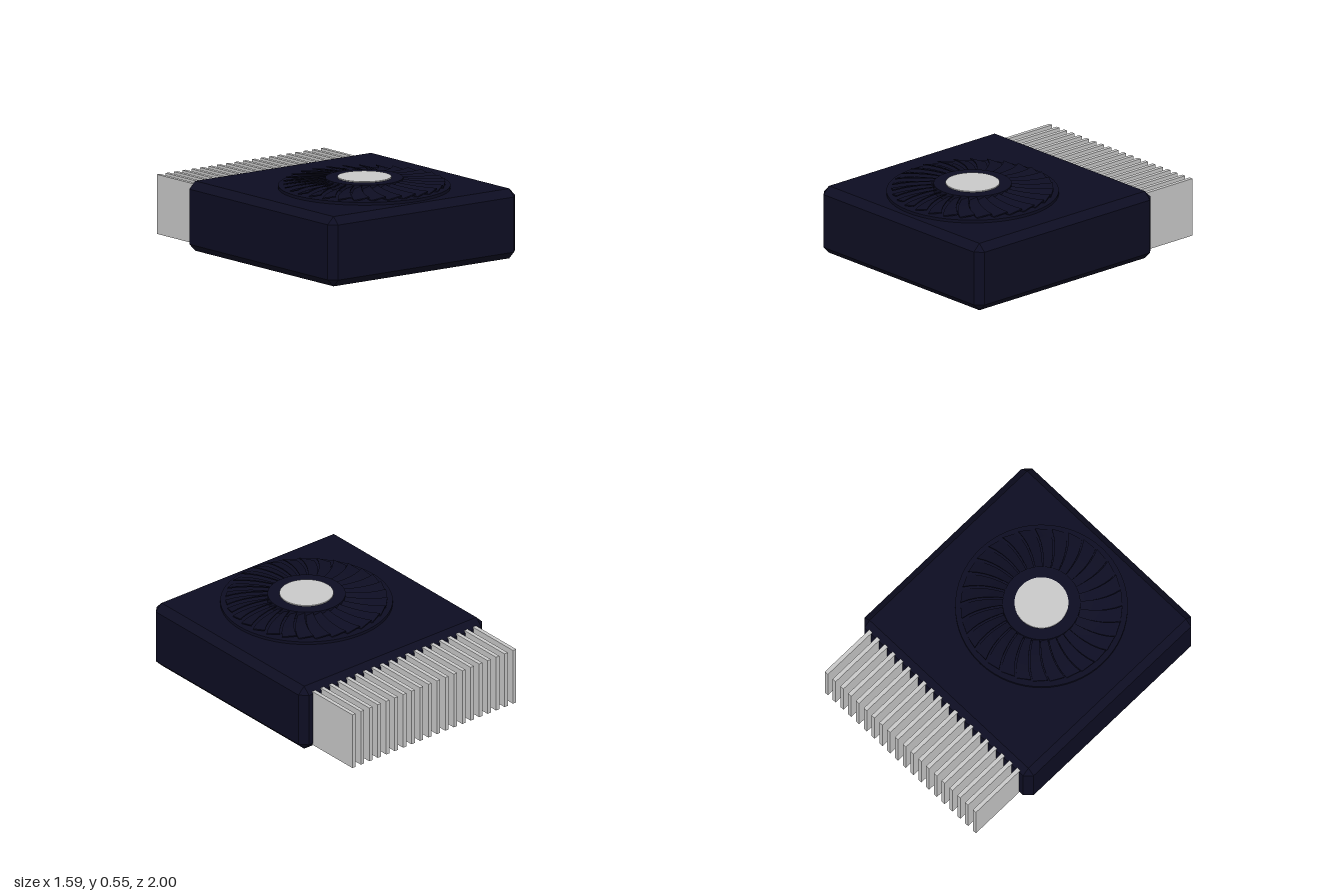
import * as THREE from 'three';
import { ConvexGeometry } from 'three/addons/geometries/ConvexGeometry.js';
import { mergeGeometries } from 'three/addons/utils/BufferGeometryUtils.js';

const navy = new THREE.MeshStandardMaterial({ name: 'darkNavy', color: 0x0d0d22 });
const silver = new THREE.MeshStandardMaterial({ name: 'lightGrey', color: 0xc9c9c9 });

function addMesh(parent, name, geometry, material, x = 0, y = 0, z = 0) {
  const mesh = new THREE.Mesh(geometry, material);
  mesh.name = name;
  mesh.position.set(x, y, z);
  parent.add(mesh);
  return mesh;
}

// Box with every edge and corner cut flat
function chamferBox(w, h, d, c) {
  const points = [];
  for (const sx of [-1, 1]) for (const sy of [-1, 1]) for (const sz of [-1, 1]) {
    for (const [a, b, e] of [[0, c, c], [c, 0, c], [c, c, 0]]) {
      points.push(new THREE.Vector3(sx * (w / 2 - a), sy * (h / 2 - b), sz * (d / 2 - e)));
    }
  }
  return new ConvexGeometry(points);
}

// Curved, pitched blade: x runs outward, z runs around the hub
function bladeGeometry(start) {
  const g = new THREE.BoxGeometry(1, 1, 1, 6, 1, 1);
  const p = g.attributes.position;
  for (let i = 0; i < p.count; i++) {
    const t = p.getX(i) + 0.5;
    const s = p.getZ(i) + 0.5;
    const r = 0.235 + t * 0.305;
    const angle = start - 0.13 * t * t + s * 0.185;
    const top = 0.545 - 0.022 * t - 0.022 * s;
    const y = top + (p.getY(i) - 0.5) * 0.008;
    p.setXYZ(i, r * Math.cos(angle), y, r * Math.sin(angle));
  }
  g.computeVertexNormals();
  return g;
}

export function createModel() {
  const model = new THREE.Group();
  model.name = 'blowerWithHeatsink';

  addMesh(model, 'housing', chamferBox(1.59, 0.475, 1.59, 0.05), navy, 0, 0.2375, 0.205);

  // Heatsink fins along the back
  const fins = new THREE.Group();
  fins.name = 'heatsinkFins';
  model.add(fins);
  const finGeometry = new THREE.BoxGeometry(0.028, 0.405, 0.42);
  for (let i = 0; i < 20; i++) {
    addMesh(fins, 'fin', finGeometry, silver, -0.695 + (i * 1.39) / 19, 0.2375, -0.79);
  }

  // Fan on the top face
  const fan = new THREE.Group();
  fan.name = 'fan';
  fan.position.set(0, 0, 0.335);
  model.add(fan);
  addMesh(fan, 'fanBase', new THREE.CylinderGeometry(0.575, 0.575, 0.03, 64), navy, 0, 0.48, 0);
  const blades = [];
  for (let i = 0; i < 30; i++) blades.push(bladeGeometry((i / 30) * Math.PI * 2));
  addMesh(fan, 'fanBlades', mergeGeometries(blades), navy);
  addMesh(fan, 'fanHub', new THREE.CylinderGeometry(0.26, 0.26, 0.055, 64), navy, 0, 0.5195, 0);
  addMesh(fan, 'hubCap', new THREE.CylinderGeometry(0.18, 0.18, 0.008, 64), silver, 0, 0.55, 0);

  return model;
}
